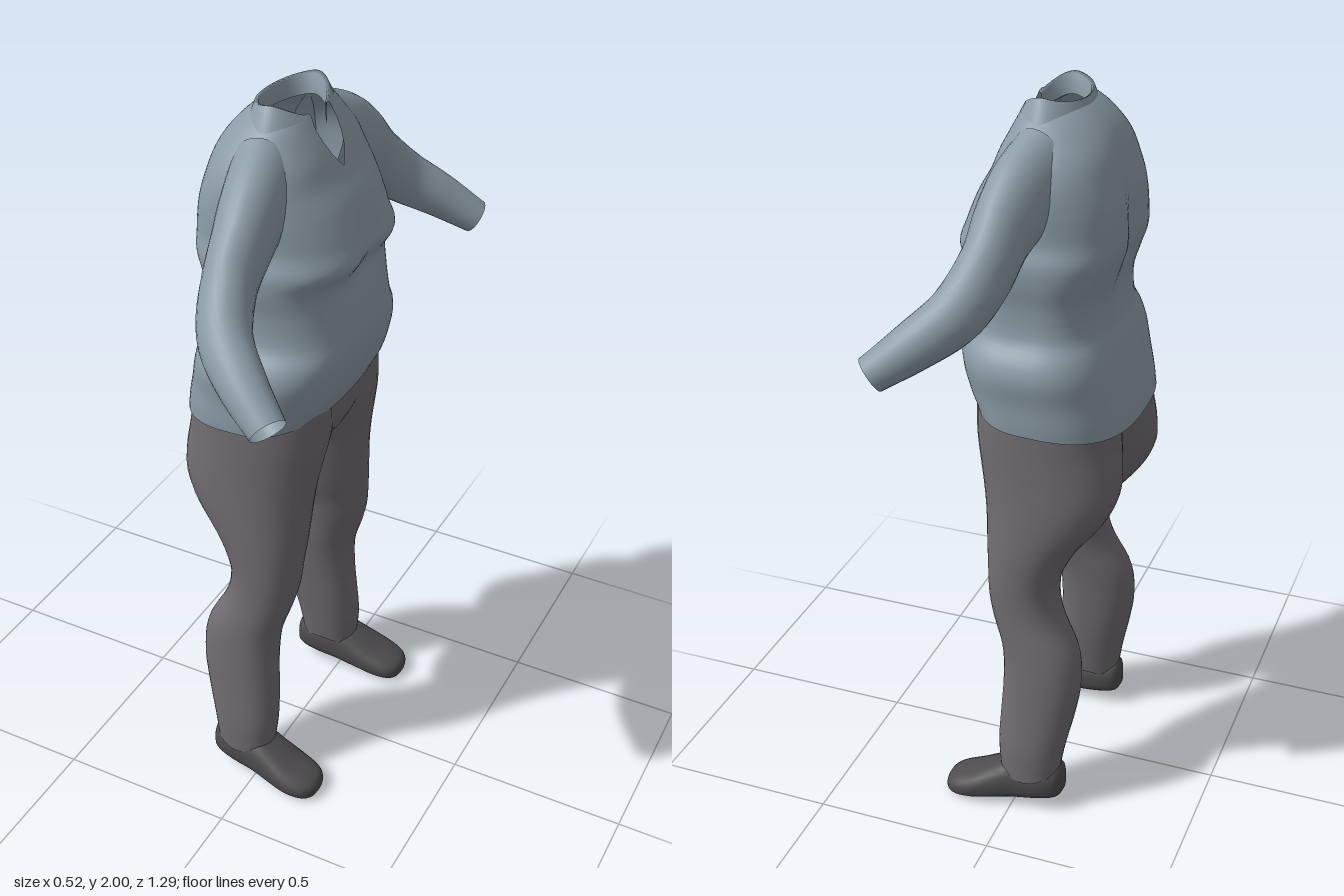
import * as THREE from 'three';

const mat = (name, color) => {
  const m = new THREE.MeshStandardMaterial({ color, side: THREE.DoubleSide });
  m.name = name;
  return m;
};

// Smooth lookup in a table of rows [key, a, b, ...]
function sample(table, k) {
  const n = table.length;
  let i = 0;
  while (i < n - 2 && k > table[i + 1][0]) i++;
  const p = table[i], q = table[i + 1], h = q[0] - p[0];
  const t = Math.min(1, Math.max(0, (k - p[0]) / h));
  const o = table[Math.max(0, i - 1)], r = table[Math.min(n - 1, i + 2)];
  return p.slice(1).map((_, c) => {
    c++;
    const m0 = (q[c] - o[c]) / (q[0] - o[0]) * h, m1 = (r[c] - p[c]) / (r[0] - p[0]) * h;
    const t2 = t * t, t3 = t2 * t;
    return (2 * t3 - 3 * t2 + 1) * p[c] + (t3 - 2 * t2 + t) * m0 + (3 * t2 - 2 * t3) * q[c] + (t3 - t2) * m1;
  });
}

// Skin over a grid of points; fn(u, v) gives [x, y, z], u around, v along
function loft(name, material, around, along, fn, { closed = true, flip = false } = {}) {
  const pos = [], idx = [], cols = closed ? around : around + 1;
  for (let r = 0; r <= along; r++)
    for (let s = 0; s < cols; s++) pos.push(...fn(s / around, r / along));
  for (let r = 0; r < along; r++)
    for (let s = 0; s < around; s++) {
      const a = r * cols + s, b = r * cols + (s + 1) % cols, c = a + cols, d = b + cols;
      idx.push(...(flip ? [a, b, c, b, d, c] : [a, c, b, b, c, d]));
    }
  const g = new THREE.BufferGeometry();
  g.setAttribute('position', new THREE.Float32BufferAttribute(pos, 3));
  g.setIndex(idx);
  g.computeVertexNormals();
  const mesh = new THREE.Mesh(g, material);
  mesh.name = name;
  return mesh;
}

// Rounded-square cosine and sine
const round = (v, n) => Math.sign(v) * Math.abs(v) ** (2 / n);
const bump = (v, w) => Math.exp(-(v / w) * (v / w));

// y, back x, front x, half width
const TORSO = [
  [1.15, -0.268, 0.135, 0.298], [1.2, -0.26, 0.142, 0.302], [1.26, -0.247, 0.17, 0.303], [1.33, -0.23, 0.187, 0.31],
  [1.375, -0.215, 0.192, 0.296], [1.42, -0.2, 0.192, 0.262], [1.5, -0.198, 0.18, 0.255], [1.57, -0.218, 0.172, 0.265],
  [1.62, -0.235, 0.2, 0.265], [1.67, -0.238, 0.185, 0.25], [1.75, -0.23, 0.15, 0.25], [1.81, -0.213, 0.115, 0.245],
  [1.86, -0.197, 0.095, 0.225], [1.9, -0.175, 0.075, 0.195], [1.94, -0.14, 0.055, 0.16], [1.965, -0.11, 0.045, 0.125],
];
// y, back x, front x, inner z, outer z
const LEG = [
  [0.11, -0.125, 0.04, 0.2, 0.335], [0.2, -0.14, 0.048, 0.187, 0.335], [0.3, -0.162, 0.045, 0.172, 0.327],
  [0.4, -0.177, 0.04, 0.16, 0.32], [0.5, -0.168, 0.045, 0.147, 0.312], [0.6, -0.118, 0.075, 0.13, 0.302],
  [0.66, -0.102, 0.088, 0.115, 0.3], [0.72, -0.105, 0.092, 0.1, 0.3], [0.8, -0.145, 0.098, 0.07, 0.3],
  [0.9, -0.22, 0.105, 0.042, 0.298], [0.97, -0.25, 0.113, 0.03, 0.295], [1.04, -0.252, 0.125, 0.01, 0.292],
  [1.12, -0.242, 0.137, -0.015, 0.29], [1.22, -0.238, 0.137, -0.02, 0.288],
];
// y, back x, front x, half width
const PELVIS = [
  [1.02, -0.1, 0.04, 0.03], [1.05, -0.16, 0.085, 0.09], [1.1, -0.195, 0.118, 0.19],
  [1.15, -0.215, 0.132, 0.26], [1.215, -0.235, 0.137, 0.285],
];
// x, bottom y, top y, centre z, half width
const SHOE = [
  [-0.142, 0.06, 0.1, 0.262, 0.012], [-0.13, 0.04, 0.135, 0.263, 0.042], [-0.08, 0.028, 0.145, 0.266, 0.06],
  [0, 0.016, 0.145, 0.272, 0.063], [0.06, 0.008, 0.115, 0.278, 0.068], [0.12, 0.002, 0.083, 0.283, 0.071],
  [0.17, 0, 0.062, 0.284, 0.06], [0.192, 0.005, 0.048, 0.284, 0.038], [0.2, 0.018, 0.032, 0.284, 0.01],
];
// position along arm, horizontal radius, vertical radius
const ARM = [
  [0, 0.085, 0.125], [0.2, 0.078, 0.112], [0.4, 0.067, 0.088], [0.6, 0.066, 0.075], [0.8, 0.06, 0.062], [1, 0.047, 0.046],
];

function torsoPoint(u, v) {
  const a = u * Math.PI * 2, c = Math.cos(a), s = Math.sin(a);
  const fromFront = Math.min(a, Math.PI * 2 - a);
  const hem = 1.18 + 0.025 * c;
  let y = hem + (1.965 - hem) * v;
  // open neckline: the front edge dips into a V
  y -= 0.14 * Math.max(0, (y - 1.74) / 0.225) * Math.max(0, 1 - fromFront / 0.36);
  const [b, f, w] = sample(TORSO, y);
  const n = 2.7 - 0.5 * Math.max(0, (y - 1.7) / 0.26), cx = -0.03;
  const z = w * round(s, n);
  let x = cx + (c > 0 ? f - cx : cx - b) * round(c, n);
  // chest cleft and spine groove
  if (c > 0) x -= 0.022 * bump(z, 0.06) * bump(y - 1.64, 0.07);
  else x += 0.025 * bump(z, 0.05) * bump(y - 1.68, 0.16);
  return [x, y, z];
}

function collarPoint(u, v) {
  const a = 0.38 + u * (Math.PI * 2 - 0.76), c = Math.cos(a), s = Math.sin(a);
  const front = Math.max(0, c) ** 2;
  const top = 1.993 - 0.045 * front - 0.018 * Math.max(0, -c);
  // neck band, folded edge, then the turned-down flap
  const rows = [
    [0.075, 0.105, top - 0.05],
    [0.07, 0.112, top],
    [0.078, 0.125, top + 0.004],
    [0.1 + 0.025 * front, 0.165, top - 0.062 - 0.02 * front],
  ];
  const [rx, rz, y] = rows[Math.round(v * 3)];
  return [-0.03 + rx * c, y, rz * s];
}

export function createModel() {
  const shirt = mat('shirt blue grey', 0x8c9ca7);
  const trousers = mat('trouser grey', 0x716d72);
  const leather = mat('shoe dark grey', 0x4e4c4e);
  const model = new THREE.Group();
  model.name = 'clothedFigure';

  model.add(loft('shirtBody', shirt, 72, 60, torsoPoint));
  model.add(loft('collar', shirt, 40, 3, collarPoint, { closed: false }));

  model.add(loft('trouserSeat', trousers, 40, 14, (u, v) => {
    const a = u * Math.PI * 2, y = 1.02 + 0.195 * v;
    const [b, f, w] = sample(PELVIS, y), c = Math.cos(a);
    const crease = c < 0 ? 0.03 * bump(Math.sin(a), 0.3) : 0;
    return [-0.04 + (c > 0 ? f + 0.04 : -0.04 - b) * round(c, 2.5) + crease, y, w * round(Math.sin(a), 2.5)];
  }));

  const armPath = new THREE.CatmullRomCurve3([
    [-0.035, 1.82, 0.13], [-0.015, 1.785, 0.22], [0, 1.73, 0.31], [0.012, 1.655, 0.4],
    [0.05, 1.58, 0.485], [0.13, 1.515, 0.55], [0.222, 1.448, 0.6],
  ].map(p => new THREE.Vector3(...p)));
  const up = new THREE.Vector3(0, 1, 0);

  for (const side of [1, -1]) {
    const label = side > 0 ? 'back' : 'front';
    const flip = side < 0;

    // sleeve, open at the cuff
    model.add(loft(label === 'back' ? 'sleeveA' : 'sleeveB', shirt, 28, 30, (u, v) => {
      const a = u * Math.PI * 2, p = armPath.getPointAt(v), t = armPath.getTangentAt(v);
      const h = new THREE.Vector3().crossVectors(up, t).normalize();
      const w = new THREE.Vector3().crossVectors(t, h);
      const [rh, rv] = sample(ARM, v);
      p.addScaledVector(h, rh * Math.cos(a)).addScaledVector(w, rv * Math.sin(a));
      return [p.x, p.y, p.z * side];
    }, { flip: !flip }));

    // trouser leg
    model.add(loft(side > 0 ? 'trouserLegA' : 'trouserLegB', trousers, 36, 44, (u, v) => {
      const a = u * Math.PI * 2, y = 0.11 + 1.11 * v;
      const [b, f, i, o] = sample(LEG, y);
      const x = (b + f) / 2 + (f - b) / 2 * round(Math.cos(a), 2.2);
      const z = (i + o) / 2 + (o - i) / 2 * round(Math.sin(a), 2.2);
      // slightly ragged cuff
      return [x, v === 0 ? y + 0.008 * Math.sin(3 * a) : y, z * side];
    }, { flip }));

    // shoe, lofted from heel to toe
    model.add(loft(side > 0 ? 'shoeA' : 'shoeB', leather, 28, 32, (u, v) => {
      const a = u * Math.PI * 2, x = -0.142 + 0.342 * (0.5 - 0.5 * Math.cos(Math.PI * v));
      const [lo, hi, cz, w] = sample(SHOE, x);
      const end = v === 0 || v === 1 ? 0 : 1;
      const s = Math.sin(a);
      return [x, (lo + hi) / 2 + end * (hi - lo) / 2 * round(s, s < 0 ? 3 : 2.2),
        side * (cz + end * w * round(Math.cos(a), 2.4))];
    }, { flip: !flip }));
  }
  return model;
}
